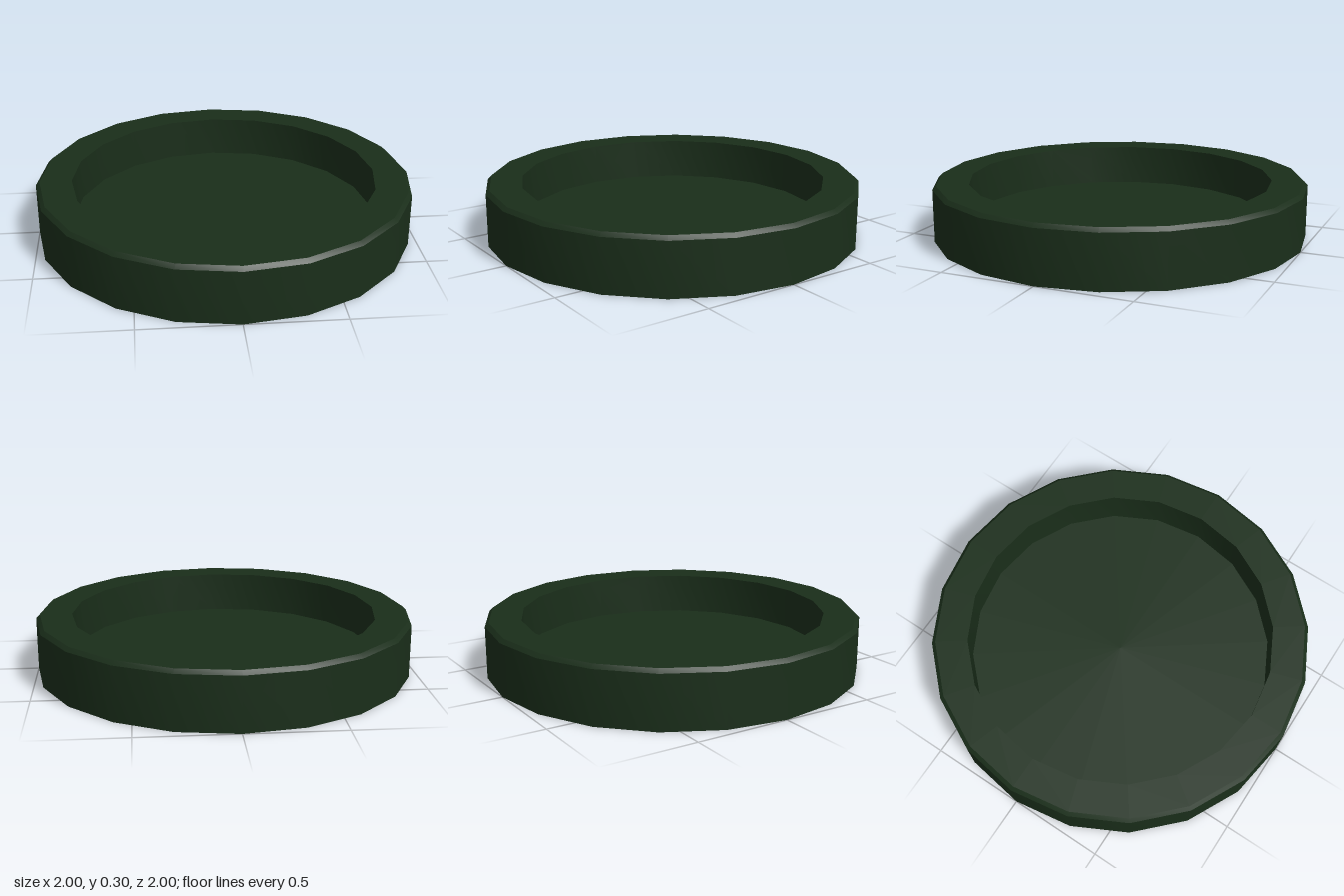
import * as THREE from 'three';
import { toCreasedNormals } from 'three/addons/utils/BufferGeometryUtils.js';

export function createModel() {
  const group = new THREE.Group();
  group.name = 'dish';

  // Cross-section from the underside centre, up the wall, over the rim and down to the floor
  const profile = [
    [0, 0], [1, 0],          // underside
    [1, 0.28], [0.98, 0.3],  // outer wall and bevelled edge
    [0.81, 0.3],             // flat rim
    [0.81, 0.08], [0, 0.08], // inner wall and recessed floor
  ].map(([r, y]) => new THREE.Vector2(r, y));

  // 20 sides: smooth around the wall, sharp at the rim and floor
  const geometry = toCreasedNormals(new THREE.LatheGeometry(profile, 20), 0.5);
  const dish = new THREE.Mesh(geometry, new THREE.MeshStandardMaterial({ color: 0x1a2e1a }));
  dish.name = 'dishBody';
  group.add(dish);
  return group;
}
